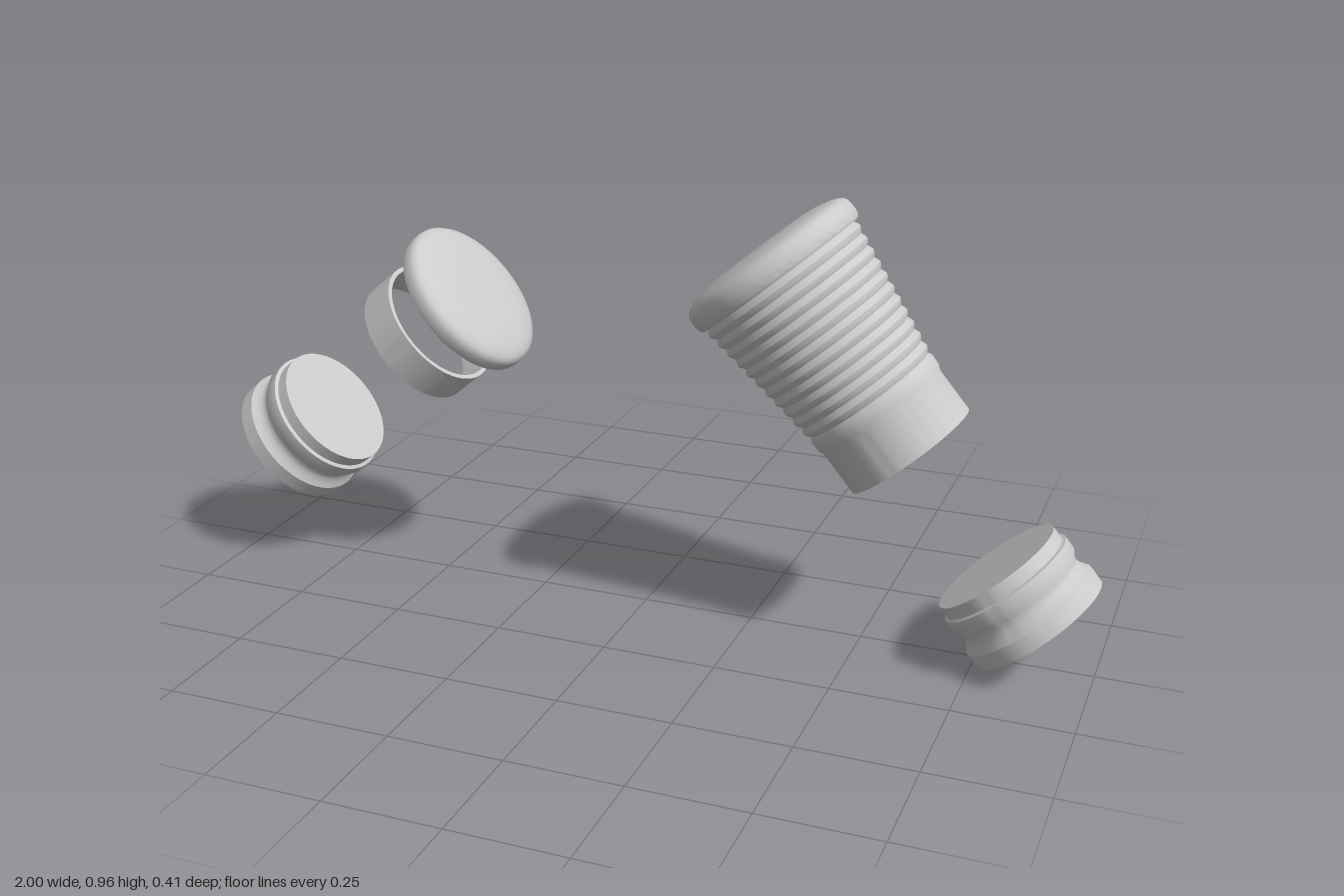
import * as THREE from 'three';
import { toCreasedNormals } from 'three/addons/utils/BufferGeometryUtils.js';

const grey = new THREE.MeshStandardMaterial({ color: 0xcccccc });
grey.name = 'plain grey';

// Revolved part from [radius, height] pairs
function lathe(name, pairs) {
  const geo = new THREE.LatheGeometry(pairs.map(([r, y]) => new THREE.Vector2(r, y)), 96);
  const mesh = new THREE.Mesh(toCreasedNormals(geo, 0.65), grey);
  mesh.name = name;
  return mesh;
}

// Solid foot: straight band, rounded waist, seat ring, stepped top
function foot() {
  return lathe('foot', [
    [0, 0], [0.157, 0], [0.157, 0.036], [0.149, 0.046], [0.143, 0.056], [0.141, 0.066],
    [0.143, 0.076], [0.152, 0.09], [0.152, 0.118], [0.144, 0.121], [0.144, 0.15], [0, 0.15],
  ]);
}

// Ribbed wall between two heights, tapering outwards
function ribs(inset) {
  const pts = [], count = 11, y0 = 0.145, y1 = 0.452;
  const step = (y1 - y0) / count;
  for (let i = 0; i < count; i++) {
    const r = 0.157 + 0.036 * (i / (count - 1)) - inset;
    const y = y0 + i * step;
    pts.push([r - 0.009, y], [r - 0.002, y + step * 0.3], [r, y + step * 0.5], [r - 0.002, y + step * 0.7]);
  }
  return pts;
}

// Hollow ribbed sleeve with a plain collar, open at the bottom
function sleeve() {
  return lathe('ribbedSleeve', [
    [0, 0.47], [0.175, 0.47],
    ...ribs(0.01).reverse(), [0.143, 0.12], [0.138, 0.1], [0.138, 0],
    [0.148, 0], [0.148, 0.1], [0.153, 0.112], [0.154, 0.135],
    ...ribs(0), [0.184, 0.455],
  ]);
}

// Rounded cap closing the sleeve
function sleeveCap() {
  return lathe('sleeveCap', [
    [0, 0.453], [0.197, 0.453], [0.203, 0.46], [0.205, 0.47], [0.205, 0.482], [0.203, 0.495],
    [0.197, 0.504], [0.185, 0.511], [0.165, 0.517], [0.14, 0.522], [0.11, 0.525], [0.06, 0.526], [0, 0.526],
  ]);
}

// Open ring
function collar() {
  return lathe('collarRing', [
    [0.14, 0.522], [0.14, 0.44], [0.15, 0.44], [0.15, 0.522], [0.14, 0.522],
  ]);
}

// Shallow domed lid, hollow underneath
function lid() {
  return lathe('lid', [
    [0, 0.649], [0.11, 0.647], [0.15, 0.637], [0.167, 0.624], [0.169, 0.604],
    [0.177, 0.604], [0.179, 0.612], [0.179, 0.626], [0.177, 0.636], [0.17, 0.644],
    [0.155, 0.651], [0.13, 0.657], [0.1, 0.66], [0.05, 0.662], [0, 0.662],
  ]);
}

// Row of parts along one tilted axis
function assembly(name, x, y, degrees, parts) {
  const group = new THREE.Group();
  group.name = name;
  group.position.set(x, y, 0);
  group.rotation.z = THREE.MathUtils.degToRad(degrees);
  group.add(...parts);
  return group;
}

export function createModel() {
  const model = new THREE.Group();
  model.name = 'explodedCaps';

  const cap = new THREE.Group();
  cap.name = 'sleeve';
  cap.position.y = 0.45;
  cap.add(sleeve(), sleeveCap());

  model.add(
    assembly('tallAssembly', 0.877, 0.104, 40, [foot(), cap]),
    assembly('shortAssembly', -0.898, 0.27, -50, [foot(), collar(), lid()]),
  );
  return model;
}
